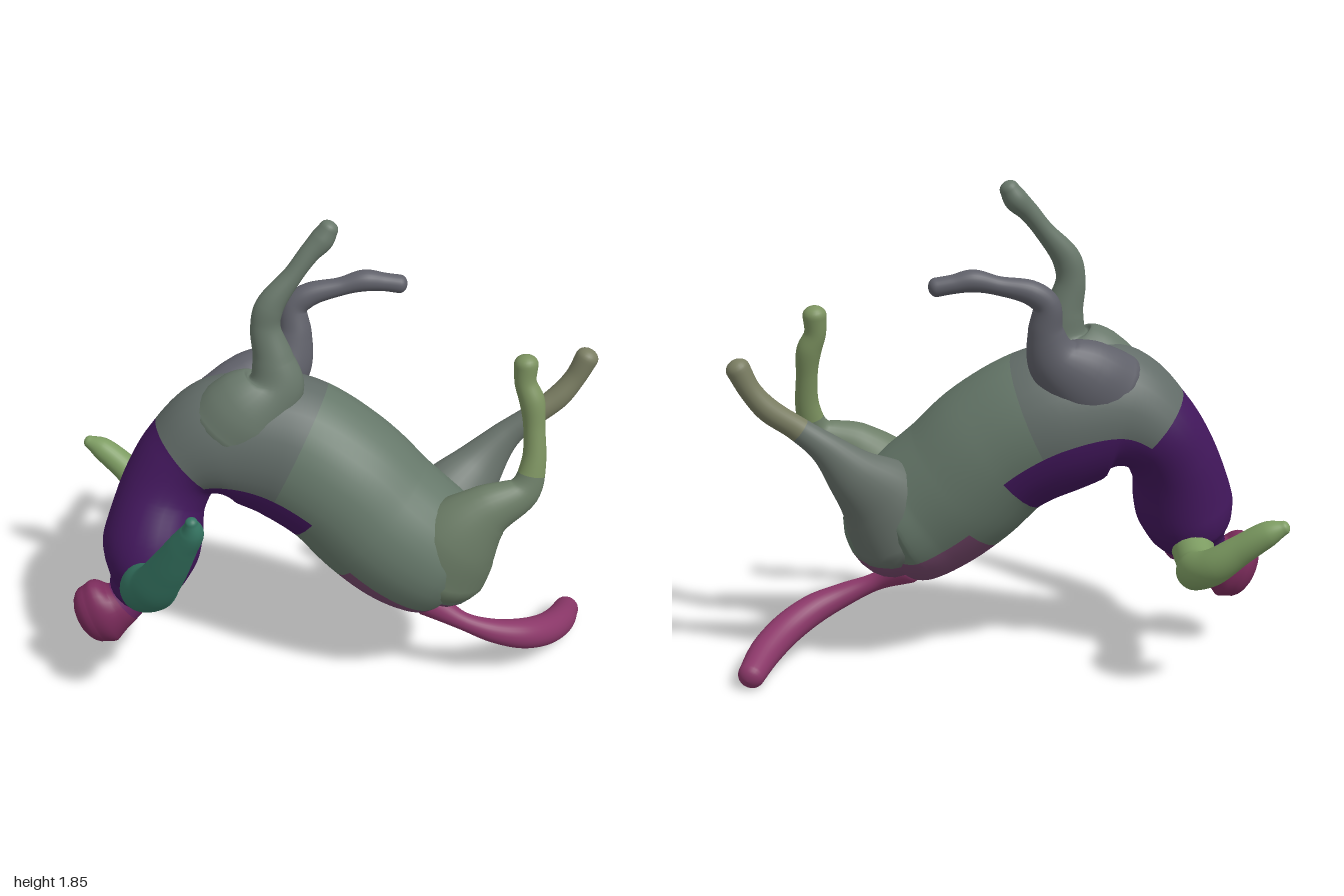
import * as THREE from 'three';

const AXIS = {
  x: new THREE.Vector3(1, 0, 0),
  y: new THREE.Vector3(0, 1, 0),
  z: new THREE.Vector3(0, 0, 1),
};
const SIDES = 28;
const CAP = 6;

// Sweep an ellipse along a smooth path with rounded ends.
// Rows are [x, y, z, radius along ref, radius across]; the last may be left out.
// regions: { name: color }, pick(u, angle) gives the region's name.
function sweep(rows, ref, regions, pick) {
  const path = new THREE.CatmullRomCurve3(rows.map(([x, y, z]) => new THREE.Vector3(x, y, z)));
  const size = new THREE.CatmullRomCurve3(
    rows.map((r, i) => new THREE.Vector3(r[3], r[4] ?? r[3], i)), false, 'catmullrom', 0.5);
  const steps = (rows.length - 1) * 8;
  const rings = [];
  const addRing = (u, lift, scale) => {
    const t = path.getTangent(u);
    const n1 = ref.clone().addScaledVector(t, -ref.dot(t)).normalize();
    const n2 = new THREE.Vector3().crossVectors(t, n1);
    const s = size.getPoint(u);
    const c = path.getPoint(u).addScaledVector(t, lift * Math.min(s.x, s.y) * 0.8);
    rings.push({ u, c, n1, n2, a: s.x * scale, b: s.y * scale });
  };
  for (let k = CAP; k > 0; k--) {
    const q = (k / CAP) * Math.PI / 2;
    addRing(0, -Math.sin(q), Math.max(Math.cos(q), 0.002));
  }
  for (let i = 0; i <= steps; i++) addRing(i / steps, 0, 1);
  for (let k = 1; k <= CAP; k++) {
    const q = (k / CAP) * Math.PI / 2;
    addRing(1, Math.sin(q), Math.max(Math.cos(q), 0.002));
  }

  const pos = [];
  const faces = {};
  const all = [];
  rings.forEach((r, i) => {
    for (let j = 0; j < SIDES; j++) {
      const th = (j / SIDES) * Math.PI * 2;
      const p = r.c.clone()
        .addScaledVector(r.n1, Math.cos(th) * r.a)
        .addScaledVector(r.n2, Math.sin(th) * r.b);
      pos.push(p.x, p.y, p.z);
      if (i === rings.length - 1) continue;
      const a = i * SIDES + j, b = i * SIDES + (j + 1) % SIDES;
      const quad = [a, b, b + SIDES, a, b + SIDES, a + SIDES];
      const key = pick ? pick(r.u, th) : Object.keys(regions)[0];
      (faces[key] ??= []).push(...quad);
      all.push(...quad);
    }
  });
  const geo = new THREE.BufferGeometry();
  geo.setAttribute('position', new THREE.Float32BufferAttribute(pos, 3));
  geo.setIndex(all);
  geo.computeVertexNormals();

  // one mesh per coloured region, all sharing the same smooth normals
  return Object.entries(faces).map(([name, index]) => {
    geo.setIndex(index);
    const mesh = new THREE.Mesh(geo.toNonIndexed(), new THREE.MeshStandardMaterial({ color: regions[name] }));
    mesh.name = name;
    return mesh;
  });
}

export function createModel() {
  const model = new THREE.Group();
  model.name = 'centaur';
  const add = (...args) => model.add(...sweep(...args));

  // human torso flowing into the horse barrel and rump
  add([
    [-0.74, 0.435, 0.06, 0.13, 0.11],
    [-0.71, 0.51, 0.05, 0.20, 0.16],
    [-0.68, 0.61, 0.03, 0.21, 0.185],
    [-0.63, 0.79, -0.03, 0.175, 0.165],
    [-0.55, 0.915, -0.06, 0.18, 0.175],
    [-0.41, 0.99, -0.06, 0.205, 0.245],
    [-0.19, 0.965, -0.055, 0.235, 0.28],
    [0.02, 0.85, -0.005, 0.26, 0.275],
    [0.16, 0.71, 0.03, 0.265, 0.275],
    [0.28, 0.61, 0.055, 0.26, 0.27],
    [0.38, 0.545, 0.06, 0.25, 0.25],
    [0.44, 0.52, 0.06, 0.205, 0.195],
  ], AXIS.z, { upperBody: 0x42175c, foreBody: 0x626c68, barrel: 0x66786a, saddle: 0x42175c, rump: 0x74476a },
  (u, th) => {
    const back = Math.sin(th);
    if (u < 0.37) return 'upperBody';
    if (u < 0.63 && back > 0.35) return 'saddle';
    if (u > 0.74 && back > 0.45) return 'rump';
    return u < 0.56 ? 'foreBody' : 'barrel';
  });

  // neck and head
  add([
    [-0.70, 0.45, 0.06, 0.10], [-0.765, 0.395, 0.07, 0.08], [-0.82, 0.355, 0.08, 0.085, 0.095],
    [-0.87, 0.335, 0.085, 0.093, 0.135], [-0.91, 0.32, 0.085, 0.085, 0.125],
  ], AXIS.z, { neck: 0x6b2562, head: 0x7c2c5c }, (u) => (u < 0.4 ? 'neck' : 'head'));

  // arms
  add([
    [-0.68, 0.51, 0.18, 0.10], [-0.705, 0.575, 0.29, 0.09], [-0.67, 0.635, 0.375, 0.085],
    [-0.61, 0.76, 0.445, 0.072], [-0.55, 0.90, 0.51, 0.054], [-0.515, 0.98, 0.545, 0.042],
    [-0.515, 1.03, 0.56, 0.022],
  ], AXIS.x, { leftArm: 0x357562 });
  add([
    [-0.70, 0.46, -0.10, 0.08], [-0.69, 0.44, -0.26, 0.07], [-0.665, 0.475, -0.39, 0.07],
    [-0.71, 0.515, -0.465, 0.066], [-0.80, 0.595, -0.515, 0.054], [-0.89, 0.665, -0.55, 0.045],
    [-0.94, 0.69, -0.565, 0.025],
  ], AXIS.y, { rightArm: 0x7d9c62 });

  // front legs, raised, each rising from a bulging shoulder
  add([
    [-0.36, 1.07, -0.01, 0.15, 0.18], [-0.30, 1.15, 0.00, 0.135, 0.165], [-0.21, 1.25, 0.00, 0.085, 0.11],
    [-0.215, 1.35, -0.01, 0.065, 0.075], [-0.24, 1.47, -0.02, 0.045, 0.055], [-0.225, 1.55, -0.025, 0.043, 0.052],
    [-0.14, 1.66, -0.05, 0.036], [-0.08, 1.735, -0.07, 0.037], [-0.035, 1.78, -0.085, 0.043],
    [-0.01, 1.82, -0.09, 0.035],
  ], AXIS.z, { leftFrontLeg: 0x68776a });
  add([
    [-0.35, 1.07, -0.13, 0.13, 0.18], [-0.27, 1.14, -0.175, 0.11, 0.155], [-0.16, 1.23, -0.21, 0.075, 0.10],
    [-0.13, 1.33, -0.23, 0.055, 0.065], [-0.13, 1.43, -0.248, 0.043, 0.05], [-0.08, 1.475, -0.255, 0.042, 0.045],
    [0.04, 1.505, -0.26, 0.034], [0.13, 1.525, -0.265, 0.04], [0.20, 1.515, -0.27, 0.034],
    [0.26, 1.505, -0.27, 0.034],
  ], AXIS.z, { rightFrontLeg: 0x5f6069 });

  // hind legs with heavy haunches
  add([
    [0.385, 0.55, 0.14, 0.165, 0.20], [0.45, 0.68, 0.17, 0.135, 0.17], [0.55, 0.79, 0.18, 0.085, 0.11],
    [0.69, 0.865, 0.16, 0.05, 0.065], [0.725, 0.97, 0.135, 0.042, 0.046], [0.725, 1.10, 0.105, 0.04],
    [0.715, 1.20, 0.085, 0.046], [0.69, 1.27, 0.07, 0.04], [0.69, 1.34, 0.06, 0.044],
  ], AXIS.z, { leftHindLeg: 0x6b7c66, leftHindCannon: 0x7c9260 },
  (u) => (u < 0.45 ? 'leftHindLeg' : 'leftHindCannon'));
  add([
    [0.385, 0.55, -0.02, 0.165, 0.20], [0.46, 0.68, -0.08, 0.12, 0.165], [0.56, 0.79, -0.14, 0.078, 0.105],
    [0.66, 0.90, -0.17, 0.05, 0.06], [0.76, 0.98, -0.18, 0.04, 0.045], [0.86, 1.055, -0.195, 0.044],
    [0.92, 1.13, -0.205, 0.04], [0.96, 1.21, -0.21, 0.044],
  ], AXIS.z, { rightHindLeg: 0x67716a, rightHindCannon: 0x7a7d62 },
  (u) => (u < 0.55 ? 'rightHindLeg' : 'rightHindCannon'));

  // tail sweeping back and across
  add([
    [0.36, 0.34, 0.10, 0.06], [0.48, 0.275, 0.14, 0.035], [0.60, 0.225, 0.145, 0.045],
    [0.72, 0.18, 0.11, 0.058], [0.82, 0.135, 0.03, 0.062], [0.90, 0.09, -0.09, 0.06],
    [0.95, 0.05, -0.22, 0.05],
  ], AXIS.y, { tail: 0x8a3768 });

  return model;
}
